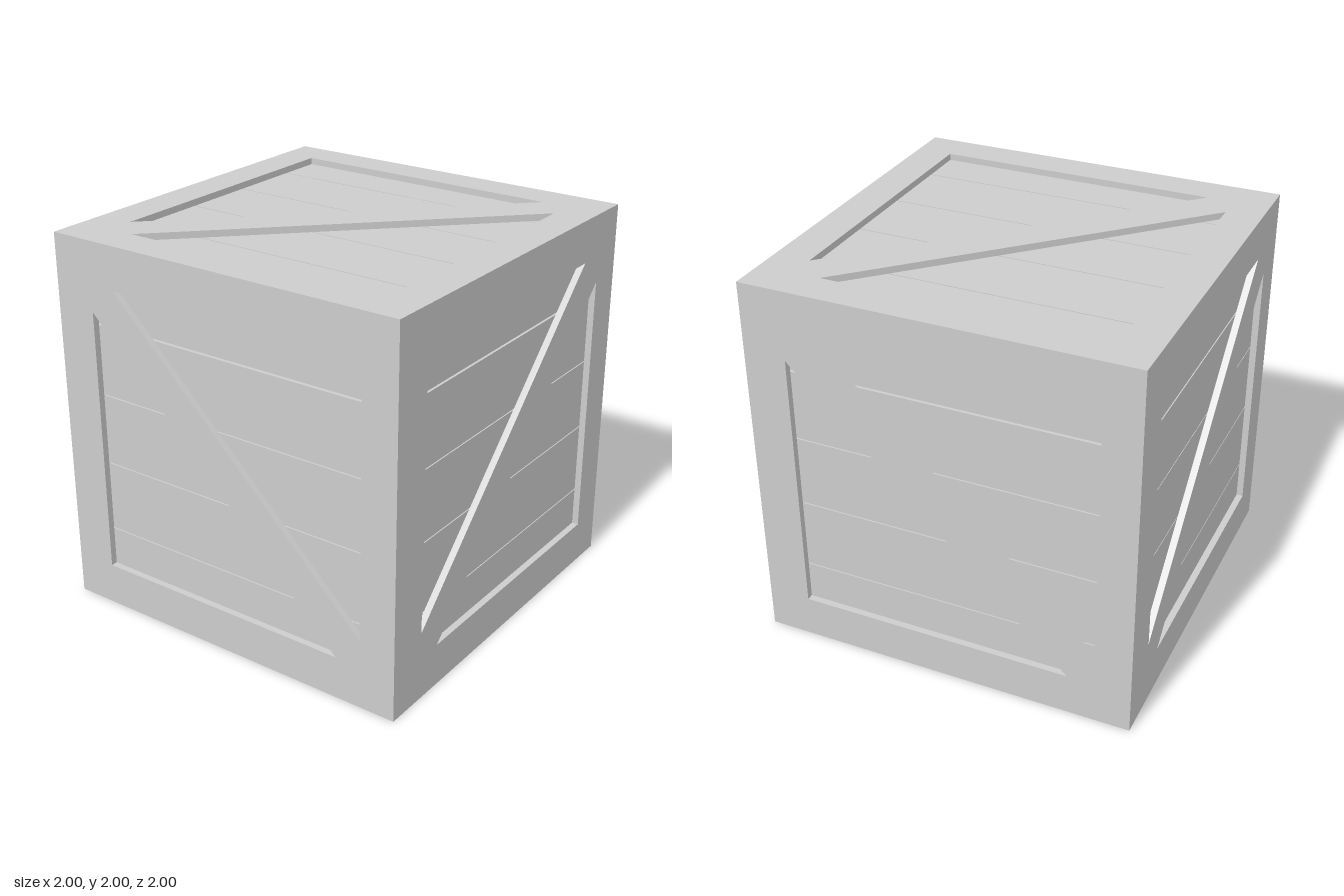
import * as THREE from 'three';

const T = 0.035;       // frame thickness
const B = 0.022;       // board thickness
const RAIL = 0.19;     // frame rail width
const CUT = 0.14;      // where the brace meets the rails

const wood = new THREE.MeshStandardMaterial({ color: 0xcccccc });
wood.name = 'paleGrey';

// Frame with a diagonal brace: a slab with two triangular openings
function braceFrame(w, h, flip) {
  const s = flip ? -1 : 1;
  const shape = new THREE.Shape();
  shape.moveTo(-w / 2, -h / 2);
  shape.lineTo(w / 2, -h / 2);
  shape.lineTo(w / 2, h / 2);
  shape.lineTo(-w / 2, h / 2);
  shape.closePath();
  const a = w / 2 - RAIL, b = h / 2 - RAIL;
  for (const k of [1, -1]) {
    const hole = new THREE.Path();
    hole.moveTo(s * k * (CUT - a), k * b);
    hole.lineTo(s * k * a, k * b);
    hole.lineTo(s * k * a, k * (CUT - b));
    hole.closePath();
    shape.holes.push(hole);
  }
  const geo = new THREE.ExtrudeGeometry(shape, { depth: T, bevelEnabled: false });
  const mesh = new THREE.Mesh(geo, wood);
  mesh.name = 'braceFrame';
  return mesh;
}

// One crate face looking along +z, with its outer surface at z = 1
function crateFace(name, w, h, flip, boardW, boardH, topGap) {
  const face = new THREE.Group();
  face.name = name;
  const frame = braceFrame(w, h, flip);
  frame.position.set(1 - w / 2, 0, 1 - T);
  face.add(frame);

  // Five horizontal boards behind the frame, with narrow gaps
  const pitch = boardH / 5;
  for (let i = 0; i < 5; i++) {
    const low = -boardH / 2 + i * pitch + (i > 0 ? (i === 4 ? topGap : 0.006) / 2 : 0);
    const high = -boardH / 2 + (i + 1) * pitch - (i < 4 ? (i === 3 ? topGap : 0.006) / 2 : 0);
    const board = new THREE.Mesh(new THREE.BoxGeometry(boardW, high - low, B), wood);
    board.name = 'board' + (i + 1);
    board.position.set(1 - T - boardW / 2, (low + high) / 2, 1 - T - B / 2);
    face.add(board);
  }
  face.position.y = 1;
  return face;
}

export function createModel() {
  const crate = new THREE.Group();
  crate.name = 'crate';
  const inner = 2 - 2 * T;

  // Four sides overlap in a pinwheel; the brace direction alternates
  ['frontSide', 'rightSide', 'backSide', 'leftSide'].forEach((name, k) => {
    const side = crateFace(name, 2 - T, inner, k % 2 === 1, inner - B, inner - 2 * B, 0.011);
    side.rotation.y = k * Math.PI / 2;
    crate.add(side);
  });

  // Lid and base cover the full square
  for (const [name, turn] of [['lid', -1], ['base', 1]]) {
    const slab = crateFace(name, 2, 2, true, inner, inner, 0.006);
    slab.rotation.x = turn * Math.PI / 2;
    crate.add(slab);
  }
  return crate;
}
